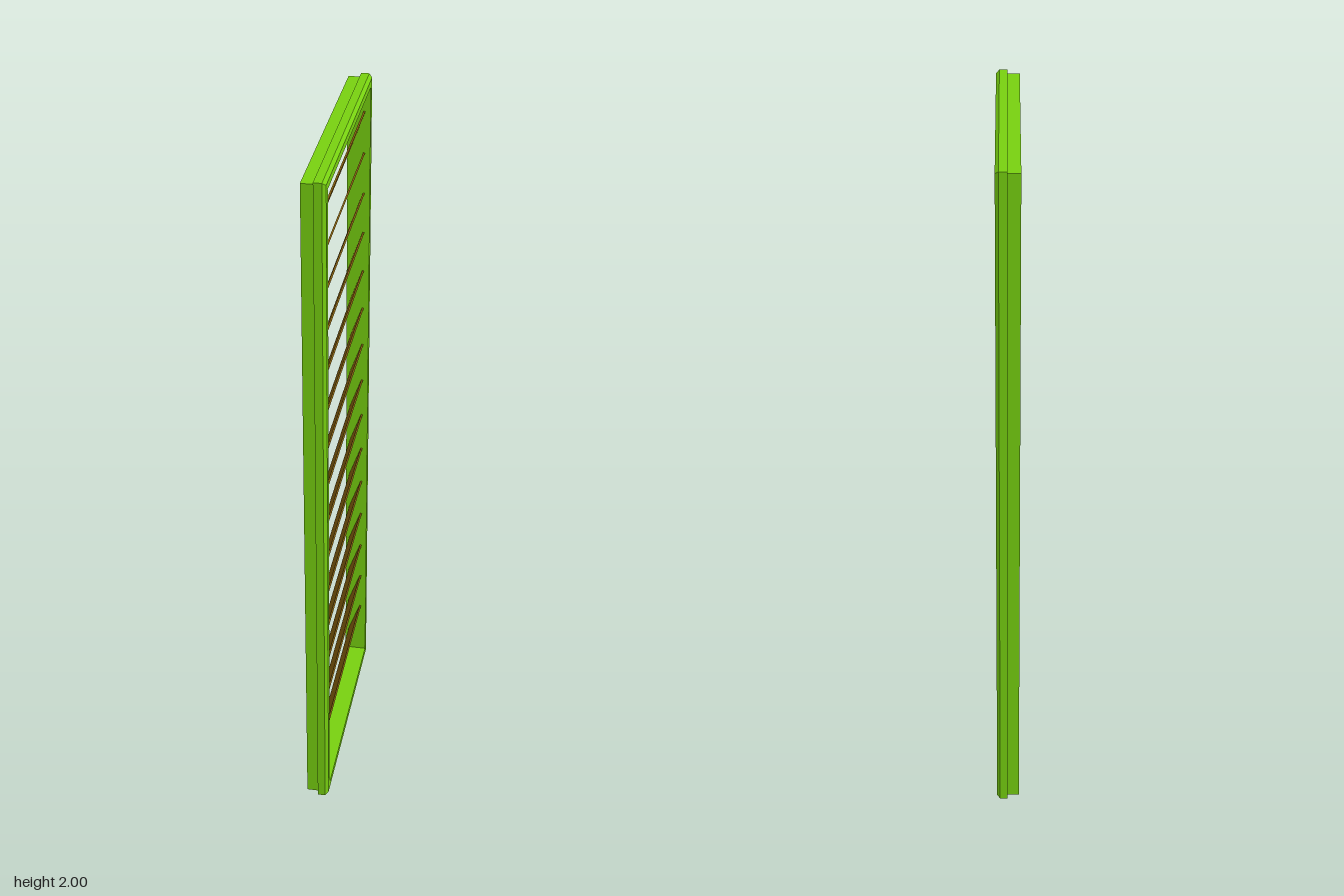
import * as THREE from 'three';

const HALF_H = 1, HALF_W = 0.342;   // outer half height and half width
const INSET = 0.028;                // width of the frame members

// Sweep an [inset, x] profile around the rectangle with mitred corners
function mitredFrame(profile) {
  const corners = [[1, 1], [1, -1], [-1, -1], [-1, 1]]; // signs of y, z
  const point = ([inset, x], [sy, sz]) =>
    [x, HALF_H + sy * (HALF_H - inset), sz * (HALF_W - inset)];
  const positions = [];
  corners.forEach((c0, i) => {
    const c1 = corners[(i + 1) % 4];
    profile.forEach((p0, j) => {
      const p1 = profile[(j + 1) % profile.length];
      const a = point(p0, c0), b = point(p1, c0), c = point(p1, c1), d = point(p0, c1);
      positions.push(...a, ...b, ...c, ...a, ...c, ...d);
    });
  });
  const geometry = new THREE.BufferGeometry();
  geometry.setAttribute('position', new THREE.Float32BufferAttribute(positions, 3));
  geometry.computeVertexNormals();
  return geometry;
}

export function createModel() {
  const group = new THREE.Group();
  group.name = 'louvredShutter';
  const green = new THREE.MeshStandardMaterial({ color: 0x77d010 });
  const brown = new THREE.MeshStandardMaterial({ color: 0x7b580c });

  // Frame: chamfered outer flange with a narrower rear body
  const frame = new THREE.Mesh(mitredFrame([
    [0, 0.001], [0, 0.023], [0.008, 0.032], [INSET, 0.032],
    [INSET, -0.032], [0.008, -0.032], [0.008, 0.001],
  ]), green);
  frame.name = 'frame';
  group.add(frame);

  // Slats: top edge leans towards +x
  const slats = new THREE.Group();
  slats.name = 'slats';
  const slatGeometry = new THREE.BoxGeometry(0.005, 0.104, 2 * (HALF_W - INSET));
  for (let i = 0; i < 15; i++) {
    const slat = new THREE.Mesh(slatGeometry, brown);
    slat.name = `slat${i + 1}`;
    slat.position.set(-0.002, 0.155 + i * 0.1213, 0);
    slat.rotation.z = -0.34;
    slats.add(slat);
  }
  group.add(slats);
  return group;
}
